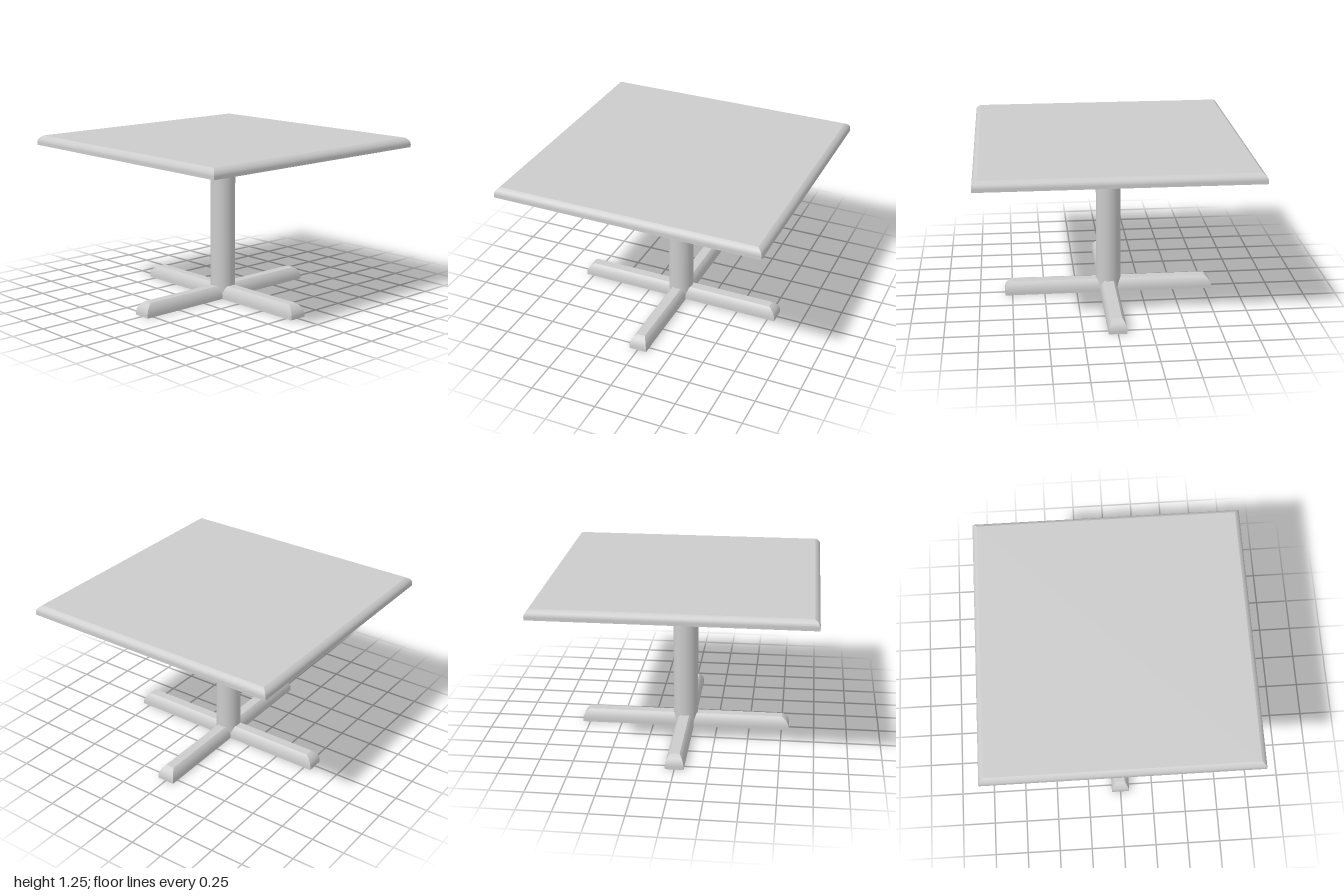
import * as THREE from 'three';
import { mergeGeometries } from 'three/addons/utils/BufferGeometryUtils.js';

const material = new THREE.MeshStandardMaterial({ color: 0xcccccc });

// Rectangular slab with mitred, rounded edges.
// profile: [inset fraction, y] pairs from bottom to top.
function roundedSlab(halfX, halfZ, insetX, insetZ, profile) {
  const corners = [[-1, 1], [1, 1], [1, -1], [-1, -1]];
  const ring = ([f, y]) => corners.map(([sx, sz]) =>
    [sx * (halfX - f * insetX), y, sz * (halfZ - f * insetZ)]);
  const rings = profile.map(ring);
  const make = (points, index) => {
    const g = new THREE.BufferGeometry();
    g.setAttribute('position', new THREE.Float32BufferAttribute(points.flat(), 3));
    g.setIndex(index);
    g.computeVertexNormals();
    return g;
  };
  const parts = [];
  // Four smooth sides, kept separate so the mitres stay sharp
  for (let s = 0; s < 4; s++) {
    const points = [], index = [];
    rings.forEach((r, i) => {
      points.push(r[s], r[(s + 1) % 4]);
      if (i > 0) {
        const a = 2 * i - 2;
        index.push(a, a + 1, a + 3, a, a + 3, a + 2);
      }
    });
    parts.push(make(points, index));
  }
  // Flat top and underside
  parts.push(make(rings[rings.length - 1], [0, 1, 2, 0, 2, 3]));
  parts.push(make(rings[0], [0, 2, 1, 0, 3, 2]));
  return mergeGeometries(parts);
}

// Edge profile: short upright lip, then a convex curve up to the top
function edgeProfile(y0, lip, y1, steps = 8) {
  const profile = [[0, y0]];
  for (let i = 0; i <= steps; i++) {
    const a = (i / steps) * Math.PI * 0.3;
    profile.push([
      (1 - Math.cos(a)) / (1 - Math.cos(Math.PI * 0.3)),
      lip + (y1 - lip) * Math.sin(a) / Math.sin(Math.PI * 0.3),
    ]);
  }
  return profile;
}

export function createModel() {
  const group = new THREE.Group();
  group.name = 'pedestalTable';
  const add = (name, geometry) => {
    const mesh = new THREE.Mesh(geometry, material);
    mesh.name = name;
    group.add(mesh);
    return mesh;
  };

  // Square top
  add('tableTop', roundedSlab(1, 1, 0.037, 0.037, edgeProfile(1.178, 1.2, 1.25)));

  // Central column
  add('column', new THREE.CylinderGeometry(0.095, 0.095, 1.176, 48, 1, true))
    .position.y = 0.59;

  // Two crossed feet
  const foot = roundedSlab(0.807, 0.068, 0.056, 0.034, edgeProfile(0, 0.018, 0.1));
  add('footAcross', foot);
  add('footFrontToBack', foot).rotation.y = Math.PI / 2;

  return group;
}
